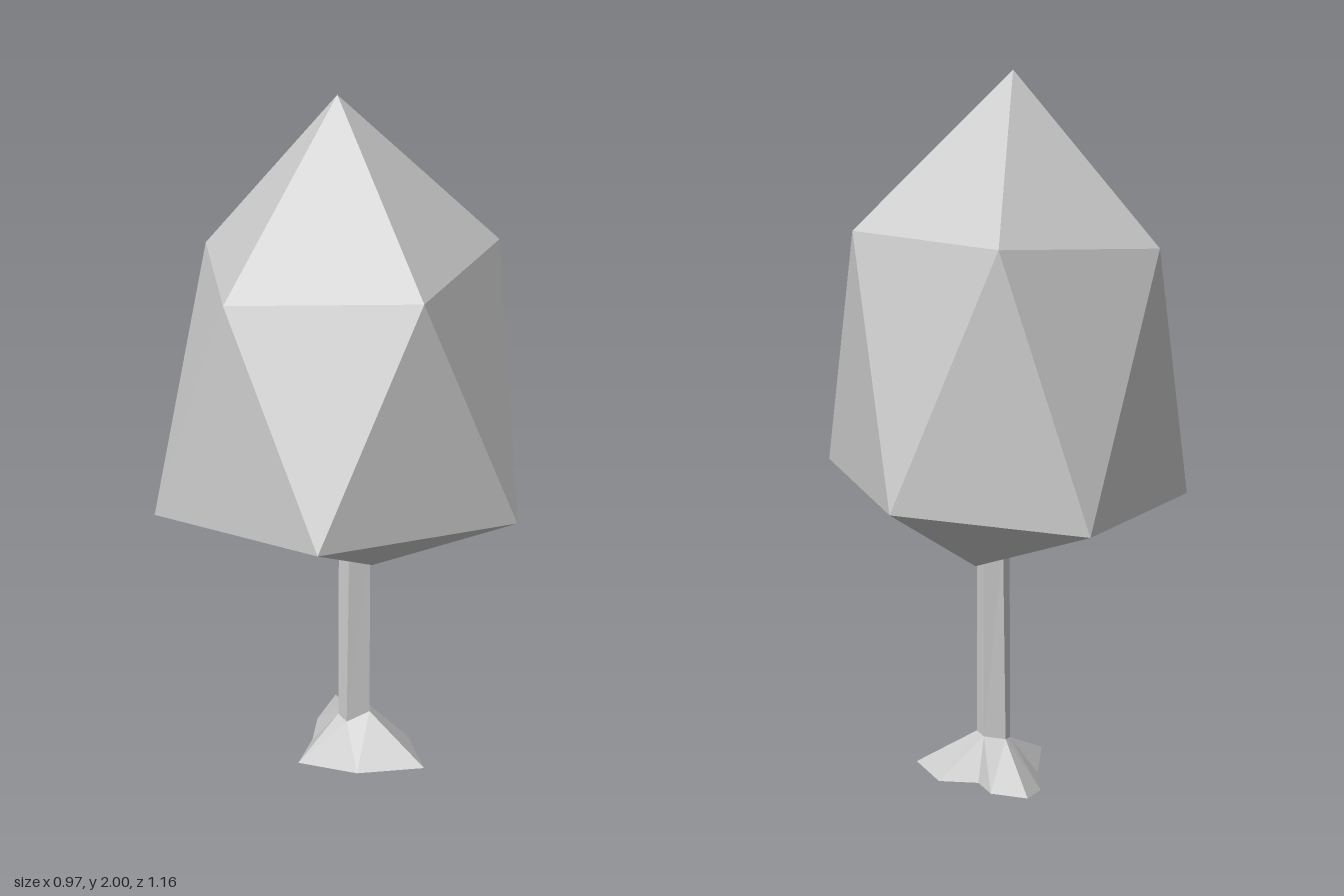
import * as THREE from 'three';

const grey = new THREE.MeshStandardMaterial({ color: 0xcccccc, flatShading: true });
grey.name = 'plain grey';

// Faceted mesh from triangles given as point triples
function facetMesh(name, triangles) {
  const geometry = new THREE.BufferGeometry();
  geometry.setAttribute('position', new THREE.Float32BufferAttribute(triangles.flat(2), 3));
  geometry.computeVertexNormals();
  const mesh = new THREE.Mesh(geometry, grey);
  mesh.name = name;
  return mesh;
}

// Crown: an uneven icosahedron, two staggered rings of five between two poles
function createCrown() {
  const top = [0.03, 2, -0.04];
  const bottom = [0.13, 0.62, 0];
  const upper = [
    [-0.3, 1.52, 0.21], [0.19, 1.58, 0.42], [0.48, 1.58, -0.05],
    [0.2, 1.56, -0.47], [-0.31, 1.53, -0.27],
  ];
  const lower = [
    [-0.1, 0.97, 0.58], [0.48, 0.89, 0.31], [0.46, 0.87, -0.35],
    [-0.01, 0.83, -0.58], [-0.49, 0.8, -0.045],
  ];
  const triangles = [];
  for (let i = 0; i < 5; i++) {
    const j = (i + 1) % 5;
    triangles.push(
      [top, upper[i], upper[j]],
      [upper[i], lower[i], upper[j]],
      [lower[i], lower[j], upper[j]],
      [bottom, lower[j], lower[i]],
    );
  }
  return facetMesh('crown', triangles);
}

// Trunk sections, counter-clockwise seen from above
const trunkFoot = [
  [0.055, 0.105, 0.02], [0.125, 0.13, 0.01], [0.12, 0.13, -0.045],
  [0.06, 0.12, -0.06], [0.035, 0.11, -0.02],
];
const trunkTop = [
  [0.06, 0.69, 0.02], [0.122, 0.69, 0.01], [0.118, 0.69, -0.045],
  [0.065, 0.69, -0.055], [0.035, 0.69, -0.02],
];

function createTrunk() {
  const triangles = [];
  for (let i = 0; i < 5; i++) {
    const j = (i + 1) % 5;
    triangles.push(
      [trunkFoot[i], trunkFoot[j], trunkTop[j]],
      [trunkFoot[i], trunkTop[j], trunkTop[i]],
    );
  }
  for (let i = 1; i < 4; i++) triangles.push([trunkTop[0], trunkTop[i], trunkTop[i + 1]]);
  return facetMesh('trunk', triangles);
}

// Roots: a jagged ground outline joined up to the trunk foot, closed underneath
function createRoots() {
  const outline = [
    [-0.1, 0.025, 0.1], [0.07, 0, 0.14], [0.27, 0.005, 0.145],
    [0.25, 0.005, -0.03], [0.15, 0.01, -0.09], [0.14, 0.01, -0.18],
    [0.06, 0.02, -0.27], [-0.01, 0, -0.17], [-0.04, 0.005, -0.05],
  ];
  const footFor = [0, 1, 1, 2, 2, 3, 3, 4, 4];
  const under = [0.06, 0.005, -0.03];
  const triangles = [];
  outline.forEach((a, i) => {
    const j = (i + 1) % outline.length;
    const b = outline[j];
    const foot = trunkFoot[footFor[i]];
    triangles.push([a, b, foot], [under, b, a]);
    if (footFor[j] !== footFor[i]) triangles.push([b, trunkFoot[footFor[j]], foot]);
  });
  return facetMesh('roots', triangles);
}

export function createModel() {
  const tree = new THREE.Group();
  tree.name = 'tree';
  tree.add(createCrown(), createTrunk(), createRoots());
  return tree;
}
